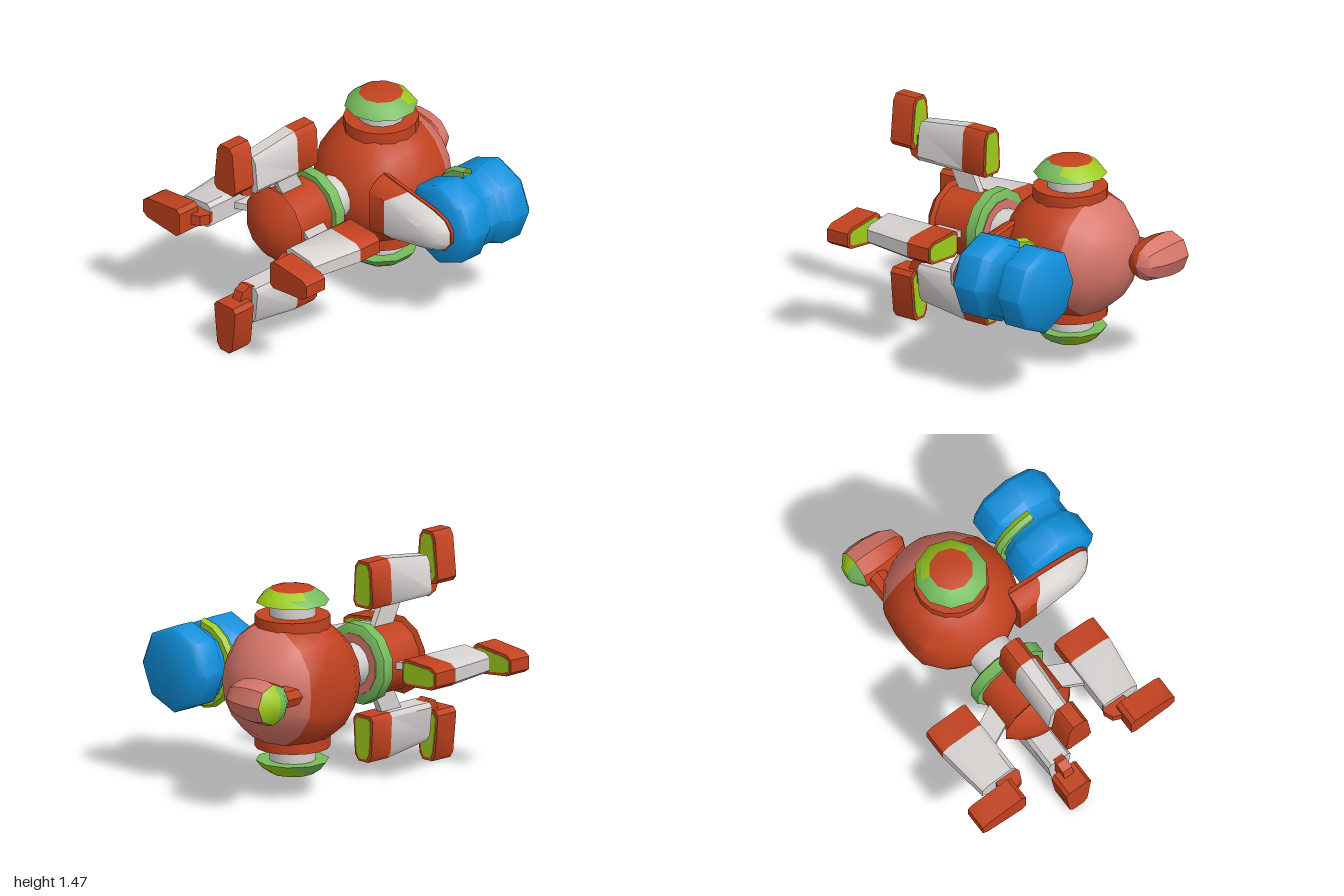
import * as THREE from 'three';
import { toCreasedNormals } from 'three/addons/utils/BufferGeometryUtils.js';

const mat = (name, color, side = THREE.FrontSide) => {
  const m = new THREE.MeshStandardMaterial({ color, side });
  m.name = name;
  return m;
};

export function createModel() {
  const red = mat('red', 0xc2421f), pink = mat('pink', 0xd8766a);
  const green = mat('green', 0x76bb5c), lime = mat('lime', 0x9ecc1c, THREE.DoubleSide);
  const white = mat('white', 0xd6d2d0), blue = mat('blue', 0x1090dc);

  const model = new THREE.Group();
  model.name = 'spacePod';
  // all parts sit around the main axis
  const hull = new THREE.Group();
  hull.name = 'hull';
  hull.position.set(-0.12, 0.735, 0);
  model.add(hull);

  const add = (parent, name, geo, material, crease = 0.7) => {
    const m = new THREE.Mesh(geo.groups.length && Array.isArray(material) ? geo : toCreasedNormals(geo, crease), material);
    m.name = name;
    parent.add(m);
    return m;
  };

  const lathe = (pts, sides, axis = 'y', start = 0) => {
    const g = new THREE.LatheGeometry(pts.map(p => new THREE.Vector2(p[0], p[1])), sides, start);
    if (axis === 'z') g.rotateX(Math.PI / 2);
    if (axis === 'x') g.rotateZ(-Math.PI / 2);
    return g;
  };

  // sorts triangles into two colour groups: those passing the test use the second material
  const paint = (geo, test, crease = 0.7) => {
    const src = toCreasedNormals(geo, crease);
    const pos = src.attributes.position, nor = src.attributes.normal;
    const sets = [{ p: [], n: [] }, { p: [], n: [] }];
    const v = [0, 1, 2].map(() => new THREE.Vector3());
    const tri = new THREE.Triangle(...v), mid = new THREE.Vector3(), dir = new THREE.Vector3();
    for (let i = 0; i < pos.count; i += 3) {
      v.forEach((q, k) => q.fromBufferAttribute(pos, i + k));
      tri.set(...v);
      if (tri.getArea() < 1e-8) continue;
      tri.getMidpoint(mid);
      tri.getNormal(dir);
      const s = sets[test(mid, dir) ? 1 : 0];
      for (let k = 0; k < 3; k++) {
        s.p.push(pos.getX(i + k), pos.getY(i + k), pos.getZ(i + k));
        s.n.push(nor.getX(i + k), nor.getY(i + k), nor.getZ(i + k));
      }
    }
    const g = new THREE.BufferGeometry();
    g.setAttribute('position', new THREE.Float32BufferAttribute([...sets[0].p, ...sets[1].p], 3));
    g.setAttribute('normal', new THREE.Float32BufferAttribute([...sets[0].n, ...sets[1].n], 3));
    const n0 = sets[0].p.length / 3;
    g.addGroup(0, n0, 0);
    g.addGroup(n0, sets[1].p.length / 3, 1);
    return g;
  };

  // closed solid through counter-clockwise outlines stacked along +z: [[z, outline], ...]
  const loft = sections => {
    const out = [];
    const n = sections[0][1].length;
    const put = (s, j) => out.push(...s[1][j % n], s[0]);
    for (let i = 0; i + 1 < sections.length; i++) {
      const a = sections[i], b = sections[i + 1];
      for (let j = 0; j < n; j++) {
        put(a, j); put(a, j + 1); put(b, j + 1);
        put(a, j); put(b, j + 1); put(b, j);
      }
    }
    const first = sections[0], last = sections[sections.length - 1];
    for (let j = 1; j < n - 1; j++) {
      put(first, 0); put(first, j + 1); put(first, j);
      put(last, 0); put(last, j); put(last, j + 1);
    }
    const g = new THREE.BufferGeometry();
    g.setAttribute('position', new THREE.Float32BufferAttribute(out, 3));
    return g;
  };

  // round body with flattened left flank and a pale back
  const R = 0.43, bodyZ = -0.345;
  const arc = [-90, -70, -48, -27, -9, 9, 27, 48, 70, 90].map(d => {
    const a = THREE.MathUtils.degToRad(d);
    return [Math.max(0, R * Math.cos(a)), bodyZ + R * Math.sin(a)];
  });
  const ball = lathe(arc, 16, 'z');
  const bp = ball.attributes.position;
  for (let i = 0; i < bp.count; i++) bp.setX(i, Math.max(bp.getX(i), -0.37));
  add(hull, 'body', paint(ball, c => c.z < -0.54), [red, pink]);

  // ports above and below
  for (const [name, turn] of [['topPort', 0], ['bottomPort', Math.PI]]) {
    const port = new THREE.Group();
    port.name = name;
    port.position.z = -0.335;
    port.rotation.z = turn;
    hull.add(port);
    add(port, 'portCollar', lathe([[0.235, 0.28], [0.235, 0.42], [0, 0.42]], 16), red);
    add(port, 'portNeck', lathe([[0.145, 0.4], [0.145, 0.506]], 14), white);
    const dish = lathe([[0, 0.503], [0.23, 0.505], [0.195, 0.55], [0.14, 0.588]], 10);
    add(port, 'portDish', paint(dish, (c, d) => d.y > 0 && (Math.hypot(c.x, c.z) < 0.178 ? c.z < -0.03 : c.z < -0.13)), [green, lime]);
    add(port, 'portCap', lathe([[0.14, 0.588], [0.08, 0.603], [0, 0.608]], 10), red);
  }

  // front neck, ring and nose
  add(hull, 'neck', lathe([[0.14, 0], [0.14, 0.22]], 14, 'z'), white);
  add(hull, 'neckRing', lathe([[0, 0.2], [0.235, 0.2], [0.26, 0.215], [0.26, 0.287], [0, 0.287]], 12, 'z', Math.PI / 12), green);
  add(hull, 'ringBackPlate', lathe([[0, 0.195], [0.2, 0.195], [0.2, 0.201]], 12, 'z', Math.PI / 12), pink);
  add(hull, 'nose', lathe([[0.22, 0.28], [0.22, 0.56], [0.255, 0.575], [0.19, 0.635], [0.1, 0.68], [0, 0.69]], 12, 'z', Math.PI / 12), red);

  // four legs around the axis
  const limb = (r0, r1, w0, w1) => [
    [r0, -0.75 * w0], [r0 + 0.03, -w0], [r1 - 0.04, -w1], [r1, -0.6 * w1],
    [r1, 0.6 * w1], [r1 - 0.04, w1], [r0 + 0.03, w0], [r0, 0.75 * w0]];
  for (let k = 0; k < 4; k++) {
    const leg = new THREE.Group();
    leg.name = 'leg' + (k + 1);
    leg.rotation.z = k * Math.PI / 2;
    hull.add(leg);
    const strut = add(leg, 'legStrut', new THREE.BoxGeometry(0.24, 0.045, 0.15), white);
    strut.position.set(0.28, 0, 0.475);
    strut.rotation.y = -0.46;
    const root = limb(0.343, 0.64, 0.085, 0.072);
    add(leg, 'legRoot', loft([[0.282, root], [0.45, root]]), red);
    add(leg, 'legShin', loft([[0.45, root], [0.8, limb(0.343, 0.593, 0.085, 0.065)]]), white);
    add(leg, 'legRootPlate', loft([[0.278, limb(0.362, 0.622, 0.066, 0.055)], [0.283, limb(0.362, 0.622, 0.066, 0.055)]]), lime);
    const knob = add(leg, 'ankle', new THREE.CylinderGeometry(0.085, 0.085, 0.07, 8), red);
    knob.position.set(0.41, 0, 0.82);
    const foot = limb(0.405, 0.735, 0.095, 0.068);
    add(leg, 'foot', loft([[0.842, foot], [1, foot]]), red);
    const sole = limb(0.43, 0.715, 0.075, 0.05);
    add(leg, 'footPlate', loft([[0.838, sole], [0.843, sole]]), lime);
  }

  // side arm: red base and shoulder with a bulging white shell
  const arm = new THREE.Group();
  arm.name = 'sideArm';
  arm.position.y = 0.735;
  model.add(arm);
  const half = (x, d) => (0.205 - 0.163 * (x - 0.17)) * (1 - 0.38 * d);
  const mirrorUp = low => [...low.map(([x, h]) => [x, -h]), ...low.slice().reverse()];
  const outline = (x0, d) => mirrorUp([[x0, half(x0, d)],
    ...[[0.6, 0.135], [0.7, 0.1], [0.745, 0.045]].map(([x, h]) => [x - 0.14 * d, h * (1 - 0.42 * d)])]);
  const shoulder = d => {
    const x0 = 0.37 - 0.09 * d;
    return mirrorUp([[0.15, half(0.15, d)], [x0, half(x0, d)]]);
  };
  const steps = [[-0.1, 0], [-0.06, 0.1], [-0.01, 0.5], [0.02, 1]];
  add(arm, 'armBase', loft([[-0.13, outline(0.15, 0)], [-0.1, outline(0.15, -0.08)]]), red);
  add(arm, 'armShoulder', loft(steps.map(([z, d]) => [z, shoulder(d)])), red);
  add(arm, 'armShell', loft(steps.map(([z, d]) => [z, outline(0.37 - 0.09 * d, d)])), white);

  // blue drum with a waist, held by a curved clamp
  const drum = new THREE.Group();
  drum.name = 'drum';
  drum.position.set(0.575, 0.735, 0);
  model.add(drum);
  add(drum, 'drumTank', lathe([[0, -0.71], [0.24, -0.71], [0.277, -0.675], [0.277, -0.52], [0.24, -0.475],
    [0.24, -0.38], [0.277, -0.335], [0.277, -0.175], [0.24, -0.14], [0, -0.14]], 8, 'z'), blue, 0.85);
  const clampGeo = new THREE.TorusGeometry(0.252, 0.038, 6, 8, Math.PI * 0.96);
  clampGeo.rotateZ(Math.PI * 0.52);
  const clamp = add(drum, 'drumClamp', paint(clampGeo, (c, d) => d.z < -0.4), [green, lime]);
  clamp.position.z = -0.43;

  // rear pod on a short stem
  const pod = new THREE.Group();
  pod.name = 'rearPod';
  pod.position.set(0, 0.735, -0.855);
  model.add(pod);
  const shell = lathe([[0.132, -0.475], [0.143, -0.42], [0.143, -0.33], [0.125, -0.22], [0.09, -0.15], [0, -0.11]], 8, 'x');
  add(pod, 'podShell', paint(shell, (c, d) => d.z < -0.15), [red, pink]);
  const lens = lathe([[0, -0.54], [0.06, -0.535], [0.132, -0.475]], 8, 'x');
  add(pod, 'podLens', paint(lens, c => c.z < 0), [green, lime]);
  const stem = add(model, 'podStem', new THREE.CylinderGeometry(0.07, 0.075, 0.26, 8), red);
  stem.position.set(-0.39, 0.735, -0.67);
  stem.rotation.x = Math.PI / 2;

  return model;
}
